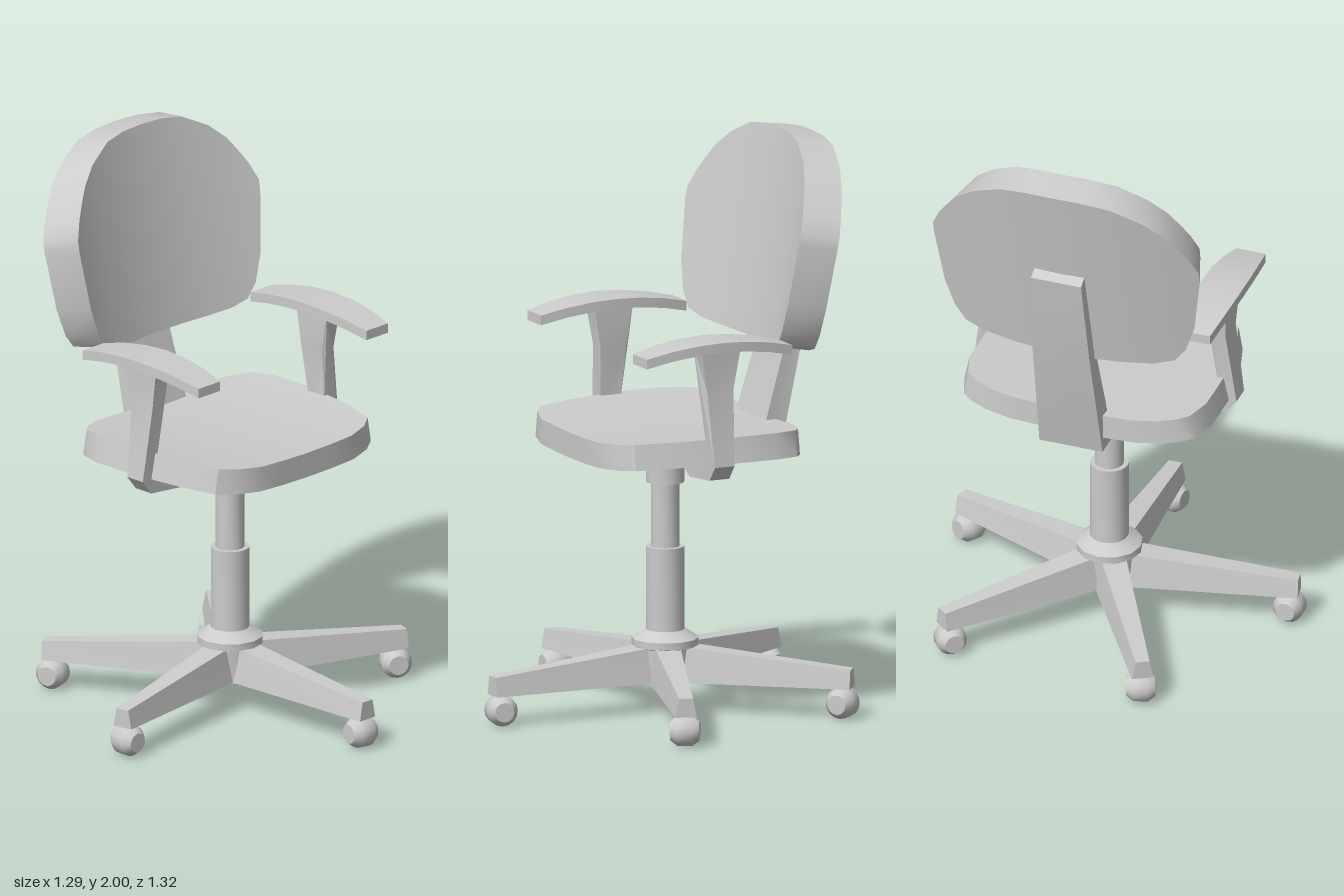
import * as THREE from 'three';
import { toCreasedNormals } from 'three/addons/utils/BufferGeometryUtils.js';

const material = new THREE.MeshStandardMaterial({ color: 0xcccccc, side: THREE.DoubleSide });

function part(name, geometry, parent, crease = 0.6) {
  const mesh = new THREE.Mesh(toCreasedNormals(geometry, crease), material);
  mesh.name = name;
  parent.add(mesh);
  return mesh;
}

// Closed solid through rings of points, each counter-clockwise seen from the far end
function loft(rings) {
  const pos = [], n = rings[0].length;
  const tri = (...pts) => pts.forEach(p => pos.push(...p));
  for (let i = 0; i < rings.length - 1; i++) {
    const a = rings[i], b = rings[i + 1];
    for (let j = 0; j < n; j++) {
      const k = (j + 1) % n;
      tri(a[j], a[k], b[k]);
      tri(a[j], b[k], b[j]);
    }
  }
  const first = rings[0], last = rings[rings.length - 1];
  for (let j = 1; j < n - 1; j++) {
    tri(first[0], first[j + 1], first[j]);
    tri(last[0], last[j], last[j + 1]);
  }
  const g = new THREE.BufferGeometry();
  g.setAttribute('position', new THREE.Float32BufferAttribute(pos, 3));
  g.computeVertexNormals();
  return g;
}

// Half list of [z, ...values] from the centre outwards, mirrored to both sides
const mirrored = half => [
  ...half.slice(1).reverse().map(([z, ...v]) => [-z, ...v]),
  ...half,
];

const lathe = (points, sides) =>
  new THREE.LatheGeometry(points.map(p => new THREE.Vector2(...p)), sides);

// Side profile extruded to a width, centred on z
function plate(points, width) {
  const shape = new THREE.Shape(points.map(p => new THREE.Vector2(...p)));
  return new THREE.ExtrudeGeometry(shape, { depth: width, bevelEnabled: false })
    .translate(0, 0, -width / 2);
}

// Seat cushion: [z, back x, front x], dished so that its sides rise
function seat() {
  const half = [[0, -0.41, 0.32], [0.12, -0.41, 0.32], [0.23, -0.41, 0.32], [0.32, -0.395, 0.295],
    [0.38, -0.37, 0.255], [0.42, -0.34, 0.12], [0.45, -0.25, -0.08]];
  return loft(mirrored(half).map(([z, back, front]) => {
    const rise = 0.027 * (z / 0.45) ** 2, zt = z * 0.96;
    return [[back, 0.915 + rise, z], [front, 0.915 + rise, z],
      [front, 1.003 + rise, zt], [back, 1.003 + rise, zt]];
  }));
}

// Backrest: [z, bottom y, top y], leaning back and wrapping forward at the sides
function backrest() {
  const half = [[0, 1.27, 1.98], [0.1, 1.27, 1.978], [0.2, 1.272, 1.965], [0.31, 1.28, 1.915],
    [0.38, 1.3, 1.86], [0.42, 1.35, 1.81], [0.455, 1.45, 1.76], [0.485, 1.66, 1.7]];
  return loft(mirrored(half).map(([z, lo, hi]) => {
    const x = y => -0.47 - 0.183 * (y - 1.27) + 0.08 * (z / 0.485) ** 2;
    const t = 0.125, zf = z * 0.91;
    return [[x(lo), lo, z], [x(lo) + t, lo + 0.02, zf],
      [x(hi) + t, hi + 0.02, zf], [x(hi), hi, z]];
  }));
}

// Arched arm pad, widest in the middle
function armPad(side) {
  const rings = [];
  for (let i = 0; i <= 6; i++) {
    const u = i / 3 - 1, x = -0.022 + 0.278 * u;
    const y = 1.343 - 0.037 * u * u, w = 0.076 - 0.023 * u * u, z = side * 0.41;
    rings.push([[x, y, z - w], [x, y + 0.034, z - w], [x, y + 0.034, z + w], [x, y, z + w]]);
  }
  return loft(rings);
}

// Arm support: bent strip in the z-y plane, flaring towards the pad
function armSupport(side) {
  const profile = [[0.2, 0.925], [0.28, 0.873], [0.435, 0.888], [0.477, 0.94], [0.442, 1.2], [0.45, 1.35],
    [0.385, 1.35], [0.385, 1.2], [0.41, 1.0], [0.4, 0.945]];
  const g = plate(profile.map(([z, y]) => [-z * side, y]), 1).rotateY(Math.PI / 2);
  const p = g.attributes.position;
  for (let i = 0; i < p.count; i++) {
    const f = Math.max(0, (p.getY(i) - 1.0) / 0.35);
    p.setX(i, -0.035 + p.getX(i) * (0.075 + 0.075 * f * f));
  }
  g.computeVertexNormals();
  return g;
}

// Base leg along x, tapering in height and width, narrower on top
function leg() {
  const ring = (x, top, wTop, wBottom) =>
    [[x, 0.11, -wBottom], [x, top, -wTop], [x, top, wTop], [x, 0.11, wBottom]];
  return loft([ring(0.03, 0.235, 0.045, 0.064), ring(0.66, 0.176, 0.024, 0.037)]);
}

export function createModel() {
  const model = new THREE.Group();
  model.name = 'officeChair';
  const upper = new THREE.Group();
  upper.name = 'seatAssembly';
  upper.position.z = -0.013;
  model.add(upper);

  part('seat', seat(), upper);
  part('backrest', backrest(), upper);

  // Bent bar carrying the backrest, tapering upwards
  const bar = plate([[-0.42, 0.865], [-0.2, 0.865], [-0.14, 0.925], [-0.38, 0.925], [-0.37, 1.0],
    [-0.45, 1.27], [-0.53, 1.64], [-0.57, 1.62], [-0.52, 1.3]], 0.23);
  const bp = bar.attributes.position;
  for (let i = 0; i < bp.count; i++) {
    bp.setZ(i, bp.getZ(i) * (1 - 0.33 * Math.max(0, bp.getY(i) - 1)));
  }
  bar.computeVertexNormals();
  part('backSupport', bar, upper, 0.2);

  for (const [side, label] of [[1, 'left'], [-1, 'right']]) {
    part(label + 'ArmPad', armPad(side), upper);
    part(label + 'ArmSupport', armSupport(side), upper, 0.4);
  }

  const base = new THREE.Group();
  base.name = 'base';
  base.position.set(-0.044, 0, -0.01);
  model.add(base);

  // Gas column with its collar and upper socket
  part('column', lathe([[0, 0.27], [0.067, 0.27], [0.067, 0.575], [0.05, 0.575], [0.05, 0.8],
    [0.066, 0.8], [0.066, 0.925], [0, 0.925]], 20), base);
  part('hub', lathe([[0, 0.106], [0.1, 0.106], [0.1, 0.225], [0.115, 0.23], [0.115, 0.255],
    [0.07, 0.285], [0, 0.285]], 12), base, 0.55);

  // Five legs, each with a barrel caster under its tip
  [0, 79.5, 150, 220.4, 290].forEach((degrees, i) => {
    const arm = new THREE.Group();
    arm.name = 'leg' + (i + 1);
    arm.rotation.y = -THREE.MathUtils.degToRad(degrees);
    part('legBeam', leg(), arm, 0.3);
    const wheel = part('caster', lathe([[0, -0.05], [0.034, -0.05], [0.053, -0.025],
      [0.053, 0.025], [0.034, 0.05], [0, 0.05]], 16), arm, 0.9);
    wheel.rotation.set(Math.PI / 2, 0, 0.2);
    wheel.position.set(0.627, 0.057, 0);
    base.add(arm);
  });
  return model;
}
